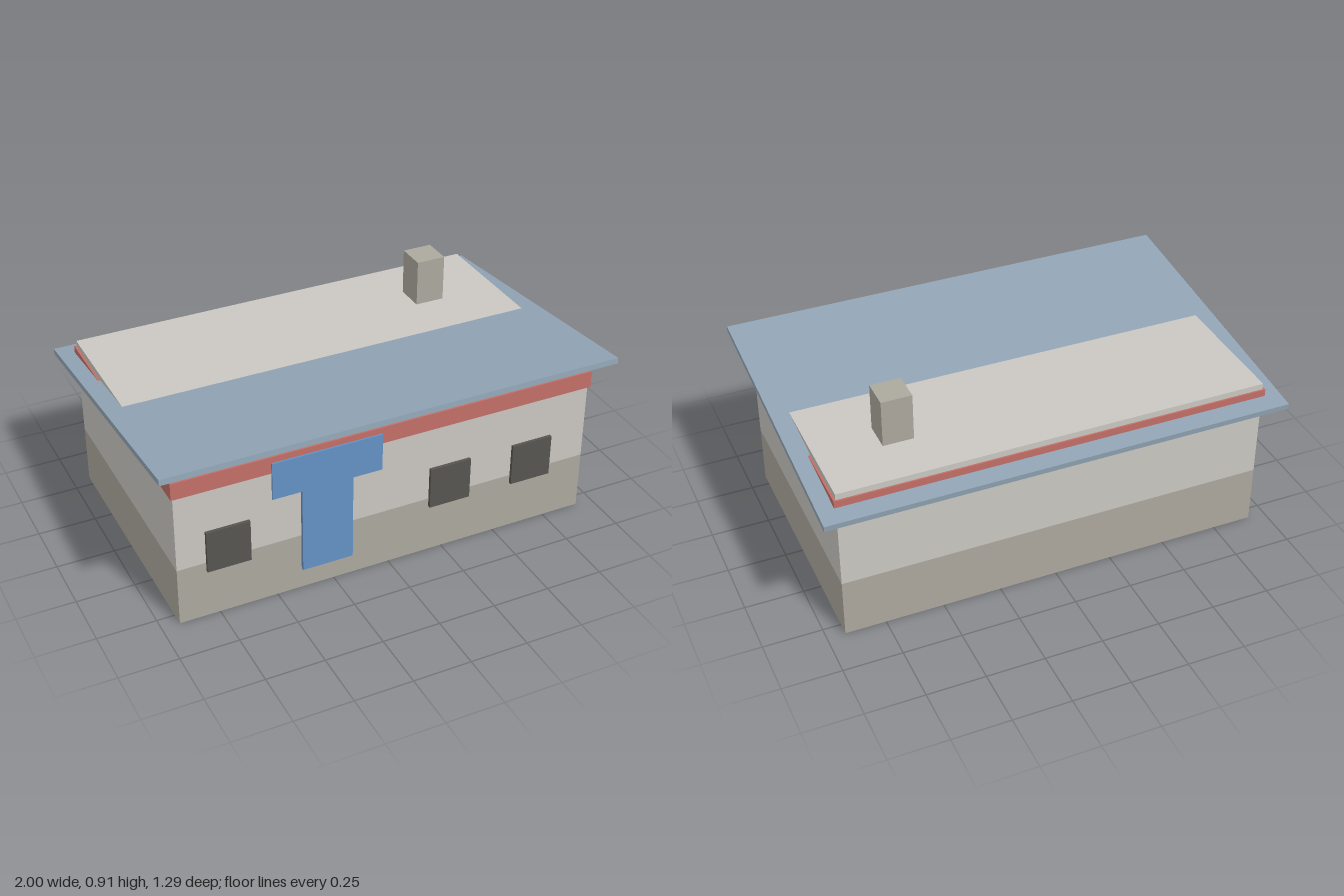
import * as THREE from 'three';

const paint = (name, color) => {
  const m = new THREE.MeshStandardMaterial({ color });
  m.name = name;
  return m;
};

export function createModel() {
  const house = new THREE.Group();
  house.name = 'house';

  const plaster = paint('pale plaster', 0xcac7c2);
  const stone = paint('warm grey stone', 0xaca89e);
  const slate = paint('blue grey roof', 0x91a4b4);
  const red = paint('red trim', 0xc26f67);
  const blue = paint('blue door', 0x6491c5);
  const dark = paint('dark glass', 0x575550);

  // Box given by its extents on each axis
  const block = (name, material, [x0, x1], [y0, y1], [z0, z1]) => {
    const mesh = new THREE.Mesh(new THREE.BoxGeometry(x1 - x0, y1 - y0, z1 - z0), material);
    mesh.position.set((x0 + x1) / 2, (y0 + y1) / 2, (z0 + z1) / 2);
    mesh.name = name;
    house.add(mesh);
    return mesh;
  };

  // Walls: stone base, plaster above, red band under the eaves
  block('lowerWall', stone, [-0.923, 0.923], [0, 0.26], [-0.555, 0.555]);
  block('upperWall', plaster, [-0.923, 0.923], [0.26, 0.705], [-0.555, 0.555]);
  block('trimBand', red, [-0.932, 0.932], [0.603, 0.678], [-0.562, 0.564]);

  // Single-pitch roof, high at the front; the wall top pokes through at the back
  const roof = block('roof', slate, [-1, 1], [0.678, 0.703], [-0.645, 0.645]);
  roof.rotation.x = -0.1;

  block('chimney', stone, [0.525, 0.655], [0.7, 0.91], [-0.34, -0.21]);

  // Door with a wide panel above it
  block('door', blue, [-0.392, -0.17], [0.095, 0.485], [0.55, 0.57]);
  block('doorPanel', blue, [-0.52, -0.043], [0.485, 0.652], [0.565, 0.573]);

  // Front windows
  for (const x of [-0.707, 0.276, 0.663]) {
    block('window', dark, [x - 0.093, x + 0.093], [0.222, 0.41], [0.55, 0.569]);
  }

  return house;
}
